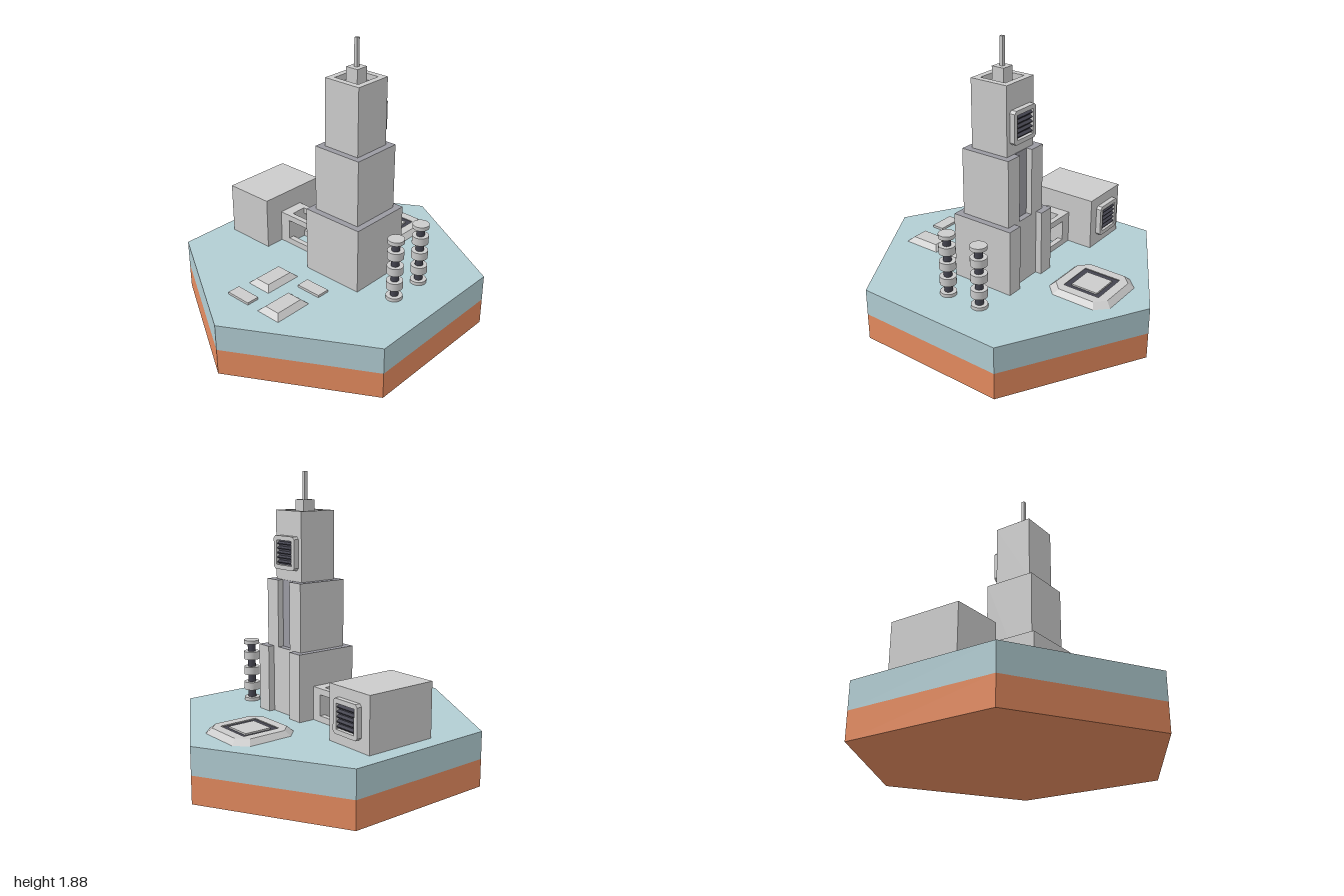
import * as THREE from 'three';

const mat = (color) => new THREE.MeshStandardMaterial({ color, flatShading: true });
const GROUND = 0.35;

export function createModel() {
  const model = new THREE.Group();
  const grey = mat(0xcccccc), ledge = mat(0x9a9aa2), dark = mat(0x44444f);
  const teal = mat(0xb2cdd3), earth = mat(0xe58b5f);

  const add = (name, geometry, material, parent = model) => {
    const mesh = new THREE.Mesh(geometry, material);
    mesh.name = name;
    parent.add(mesh);
    return mesh;
  };
  // Box given by its limits on each axis
  const box = (name, x0, x1, y0, y1, z0, z1, material = grey, parent = model) => {
    const g = new THREE.BoxGeometry(x1 - x0, y1 - y0, z1 - z0);
    g.translate((x0 + x1) / 2, (y0 + y1) / 2, (z0 + z1) / 2);
    return add(name, g, material, parent);
  };
  const shapeOf = (pts) => new THREE.Shape(pts.map(([x, y]) => new THREE.Vector2(x, y)));
  const rect = (x0, x1, y0, y1) => shapeOf([[x0, y0], [x1, y0], [x1, y1], [x0, y1]]);
  // Square with cut corners
  const octagon = (h, c) => shapeOf([[-h + c, -h], [h - c, -h], [h, -h + c], [h, h - c],
    [h - c, h], [-h + c, h], [-h, h - c], [-h, -h + c]]);
  const extrude = (shape, depth) => new THREE.ExtrudeGeometry(shape, { depth, bevelEnabled: false });
  // Extrusion standing upright, plan y pointing to the back
  const upright = (shape, height) => extrude(shape, height).rotateX(-Math.PI / 2);

  // Hexagonal base in two layers
  [['earthLayer', 0, earth], ['groundLayer', 0.175, teal]].forEach(([name, y, m]) => {
    add(name, new THREE.CylinderGeometry(1, 1, 0.175, 6).translate(0, y + 0.0875, 0), m);
  });

  // Stepped tower, notched along its back
  const tower = new THREE.Group();
  tower.name = 'tower';
  tower.position.set(0.171, GROUND, -0.035);
  model.add(tower);
  const tier = (name, half, height, notchHalf, notchDepth) => {
    const n = notchHalf, d = half - notchDepth;
    const plan = shapeOf([[-half, -half], [half, -half], [half, half], [n, half],
      [n, d], [-n, d], [-n, half], [-half, half]]);
    add(name, upright(plan, height), [ledge, grey], tower);
  };
  tier('lowerTier', 0.214, 0.43, 0.11, 0.042);
  tier('middleTier', 0.172, 0.86, 0.06, 0.04);
  box('grooveBack', -0.08, 0.08, 0, 0.86, -0.133, -0.1, ledge, tower);
  const topPlan = rect(-0.13, 0.13, -0.13, 0.13);
  topPlan.holes.push(rect(-0.09, 0.09, -0.09, 0.09));
  add('upperTier', upright(topPlan, 0.435).translate(0, 0.86, 0), grey, tower);
  box('roofFloor', -0.092, 0.092, 1.2, 1.255, -0.092, 0.092, ledge, tower);
  box('mastBase', -0.043, 0.043, 1.25, 1.36, -0.043, 0.043, grey, tower);
  box('mast', -0.011, 0.011, 1.36, 1.535, -0.011, 0.011, grey, tower);

  // Louvred vents facing the back
  const vent = (name, x, y, z) => {
    const group = new THREE.Group();
    group.name = name;
    group.position.set(x, y, z);
    group.rotation.y = Math.PI;
    model.add(group);
    const frame = octagon(0.105, 0.016);
    frame.holes.push(rect(-0.077, 0.077, -0.077, 0.077));
    add('ventFrame', extrude(frame, 0.035), grey, group);
    box('ventBack', -0.08, 0.08, -0.08, 0.08, 0, 0.012, dark, group);
    for (let i = 0; i < 5; i++) {
      const slat = box('ventSlat', -0.077, 0.077, -0.004, 0.004, -0.011, 0.011, dark, group);
      slat.position.set(0, (i - 2) * 0.029, 0.019);
      slat.rotation.x = 0.5;
    }
  };
  vent('towerVent', 0.171, 1.385, -0.168);
  vent('blockVent', -0.59, 0.525, -0.313);

  // Side block and the open-framed bridge to the tower
  box('sideBlock', -0.762, -0.417, GROUND, 0.695, -0.315, 0.17);
  const bridgeSide = rect(-0.417, -0.04, GROUND, 0.565);
  bridgeSide.holes.push(rect(-0.343, -0.11, 0.39, 0.525));
  [-0.14, 0.003].forEach((z) => {
    add('bridgeSide', extrude(bridgeSide, 0.037).translate(0, 0, z), grey);
  });
  box('bridgeEnd', -0.417, -0.343, GROUND, 0.565, -0.103, 0.003);
  box('bridgeEnd', -0.11, -0.04, GROUND, 0.565, -0.103, 0.003);

  // Ringed columns
  const rings = [[0.35, 0.372], [0.425, 0.477], [0.53, 0.582], [0.635, 0.687], [0.74, 0.765]];
  const smooth = [grey, dark].map((m) => {
    const s = m.clone();
    s.flatShading = false;
    return s;
  });
  [-0.175, 0.068].forEach((z) => {
    const column = new THREE.Group();
    column.name = 'ringedColumn';
    column.position.set(0.587, 0, z);
    model.add(column);
    add('columnCore', new THREE.CylinderGeometry(0.026, 0.026, 0.4, 20).translate(0, 0.55, 0),
      smooth[1], column);
    rings.forEach(([a, b]) => {
      add('columnRing', new THREE.CylinderGeometry(0.052, 0.052, b - a, 24)
        .translate(0, (a + b) / 2, 0), smooth[0], column);
    });
  });

  // Landing pad: tapered octagon with a dark square channel
  const pad = new THREE.Group();
  pad.name = 'landingPad';
  pad.position.set(0, GROUND, -0.592);
  model.add(pad);
  const taper = 0.185 / 0.218;
  const padPlan = octagon(0.218, 0.073);
  const hole = 0.125 / taper;
  padPlan.holes.push(rect(-hole, hole, -hole, hole));
  const padGeometry = upright(padPlan, 0.032);
  const p = padGeometry.attributes.position;
  for (let i = 0; i < p.count; i++) {
    if (p.getY(i) > 0.01) p.setXYZ(i, p.getX(i) * taper, p.getY(i), p.getZ(i) * taper);
  }
  padGeometry.computeVertexNormals();
  add('padRim', padGeometry, grey, pad);
  box('padChannel', -0.135, 0.135, 0, 0.022, -0.135, 0.135, dark, pad);
  box('padCentre', -0.09, 0.09, 0, 0.032, -0.09, 0.09, grey, pad);

  // Low roof mounds and flat slabs at the front
  [[-0.097, 0.43], [0.163, 0.6]].forEach(([x, z]) => {
    const g = new THREE.BoxGeometry(0.175, 0.032, 0.26);
    const v = g.attributes.position;
    for (let i = 0; i < v.count; i++) {
      if (v.getY(i) > 0) {
        v.setX(i, v.getX(i) - Math.sign(v.getX(i)) * 0.034);
        v.setZ(i, v.getZ(i) - Math.sign(v.getZ(i)) * 0.034);
      }
    }
    g.computeVertexNormals();
    add('mound', g.translate(x, GROUND + 0.016, z), grey);
  });
  box('slab', 0.075, 0.25, GROUND, 0.366, 0.3, 0.385);
  box('slab', -0.185, -0.01, GROUND, 0.366, 0.645, 0.73);

  return model;
}
